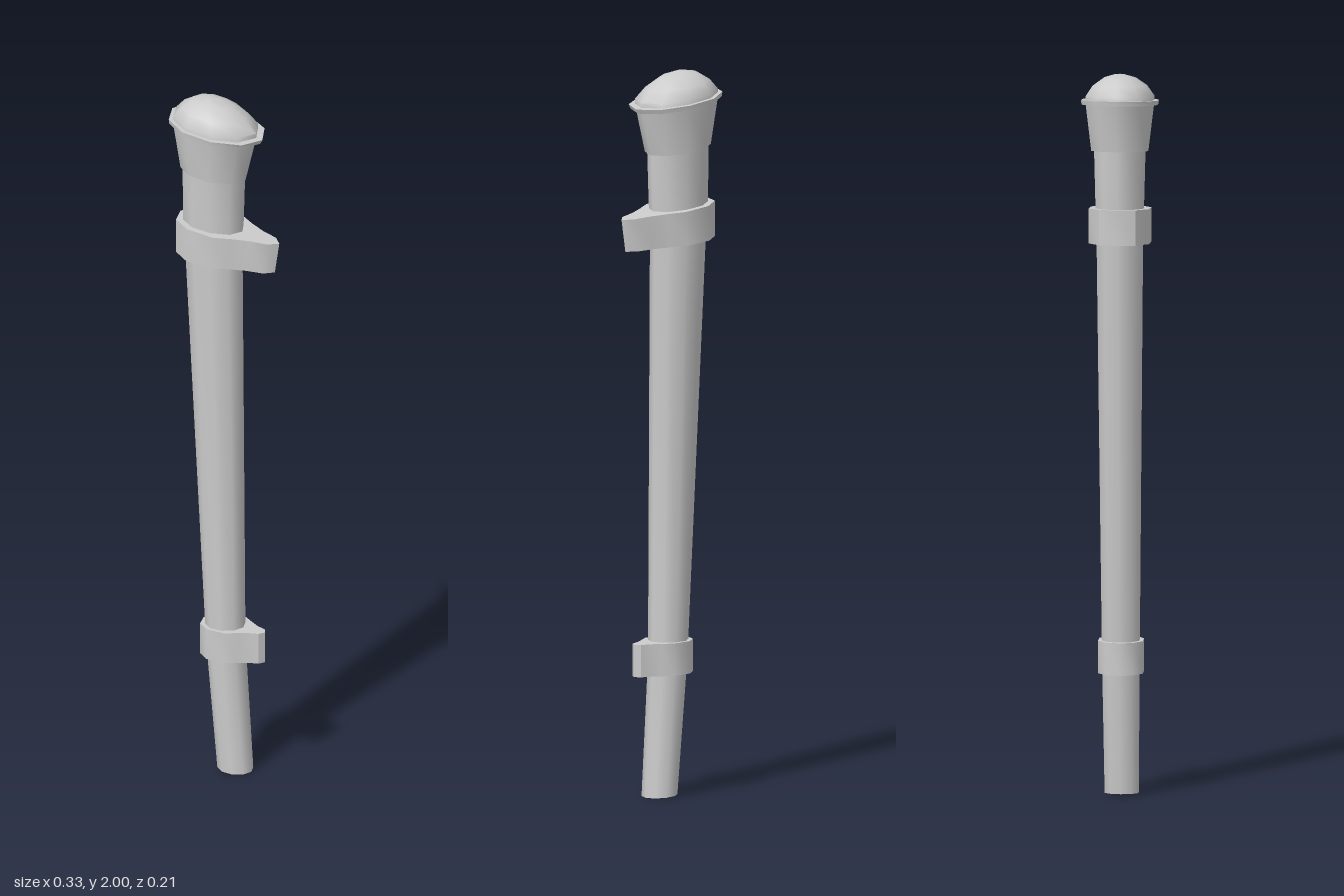
import * as THREE from 'three';
import { toCreasedNormals } from 'three/addons/utils/BufferGeometryUtils.js';

const SIDES = 10;
const material = new THREE.MeshStandardMaterial({ color: 0xcccccc });

// Ten-sided section between xl and xr, slightly longer on the right, with tilted ends yl and yr
function ring(xl, xr, yl, yr, rz) {
  const w = xr - xl, cx = xl + 0.46 * w;
  return Array.from({ length: SIDES }, (_, j) => {
    const a = (j / SIDES) * Math.PI * 2, c = Math.cos(a);
    const x = cx + c * w * (c < 0 ? 0.46 : 0.54);
    return new THREE.Vector3(x, yl + ((yr - yl) * (x - xl)) / w, Math.sin(a) * rz);
  });
}

// Skin a stack of rings from bottom to top and close both ends
function loft(name, rings, crease = 1.05) {
  const n = rings[0].length, pos = [], index = [];
  rings.forEach(r => r.forEach(p => pos.push(p.x, p.y, p.z)));
  for (let i = 0; i < rings.length - 1; i++) {
    for (let j = 0; j < n; j++) {
      const k = (j + 1) % n, a = i * n + j, b = i * n + k;
      index.push(a, a + n, b + n, a, b + n, b);
    }
  }
  [0, rings.length - 1].forEach((i, top) => {
    const c = new THREE.Vector3();
    rings[i].forEach(p => c.addScaledVector(p, 1 / n));
    const m = pos.length / 3;
    pos.push(c.x, c.y, c.z);
    for (let j = 0; j < n; j++) {
      const a = i * n + j, b = i * n + ((j + 1) % n);
      index.push(m, top ? b : a, top ? a : b);
    }
  });
  const geo = new THREE.BufferGeometry();
  geo.setAttribute('position', new THREE.Float32BufferAttribute(pos, 3));
  geo.setIndex(index);
  const mesh = new THREE.Mesh(toCreasedNormals(geo, crease), material);
  mesh.name = name;
  return mesh;
}

// Band with a tapering lug: half outline from the lug tip to the far side, mirrored in z
function band(name, half, bottomY, topY, slant) {
  const outline = [...half, ...half.slice(1, -1).reverse().map(([x, z]) => [x, -z])];
  const left = half[half.length - 1][0];
  const level = (y, drop, shift) => outline.map(([x, z]) =>
    new THREE.Vector3(x + shift * (x - left), y - drop * (x - left), z));
  return loft(name, [level(bottomY, slant * 0.7, -slant * 0.5), level(topY, slant, 0)], 0.7);
}

export function createModel() {
  const group = new THREE.Group();
  group.name = 'scabbard';

  // Tapering sheath, bent below the lower band
  group.add(loft('sheath', [
    ring(-0.02, 0.08, 0.005, 0, 0.048),
    ring(-0.055, 0.055, 0.385, 0.38, 0.053),
    ring(-0.121, 0.048, 1.55, 1.54, 0.065),
    ring(-0.128, 0.052, 1.65, 1.635, 0.068),
    ring(-0.128, 0.056, 1.80, 1.785, 0.072),
  ]));

  // Flared mouth piece
  group.add(loft('mouthCup', [
    ring(-0.133, 0.061, 1.797, 1.777, 0.080),
    ring(-0.156, 0.094, 1.93, 1.908, 0.096),
  ]));

  // Thin projecting lip
  group.add(loft('mouthRim', [
    ring(-0.166, 0.108, 1.929, 1.898, 0.107),
    ring(-0.168, 0.114, 1.942, 1.910, 0.109),
  ]));

  // Rounded cap
  group.add(loft('domeCap', [
    ring(-0.156, 0.094, 1.935, 1.900, 0.096),
    ring(-0.155, 0.095, 1.950, 1.925, 0.096),
    ring(-0.130, 0.062, 1.977, 1.957, 0.076),
    ring(-0.100, 0.020, 1.994, 1.984, 0.045),
    ring(-0.065, -0.030, 2.0, 1.998, 0.015),
  ]));

  // Suspension bands
  group.add(band('upperBand', [
    [0.167, 0], [0.143, 0.025], [0.095, 0.038], [0.05, 0.058],
    [0.005, 0.083], [-0.075, 0.083], [-0.128, 0.05], [-0.143, 0],
  ], 1.54, 1.638, 0.09));
  group.add(band('lowerBand', [
    [0.122, 0], [0.112, 0.017], [0.085, 0.026], [0.058, 0.042],
    [0.028, 0.061], [-0.027, 0.061], [-0.060, 0.037], [-0.071, 0],
  ], 0.34, 0.43, 0.006));

  return group;
}
